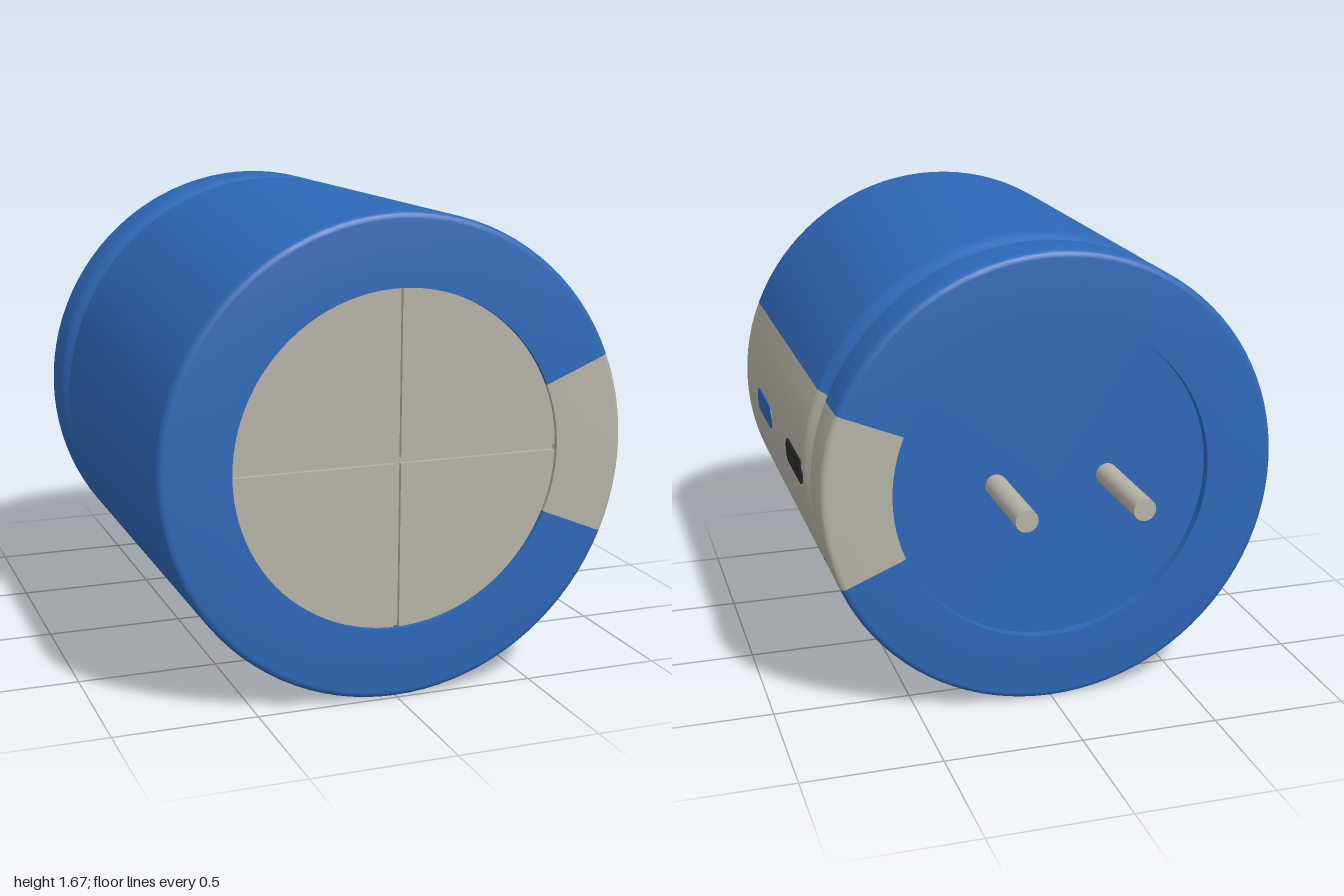
import * as THREE from 'three';
import { toCreasedNormals } from 'three/addons/utils/BufferGeometryUtils.js';

const R = 0.833;          // can radius
const RIM = 0.583;        // radius of the openings in the sleeve
const BACK = -0.66, FRONT = 1;
const FILLET = 0.025;

const material = (name, color, extra = {}) => {
  const m = new THREE.MeshStandardMaterial({ color, ...extra });
  m.name = name;
  return m;
};

// Sleeve profile as (radius, z): back lip, crimped groove, front lip
function sleeveProfile() {
  const pts = [[RIM, BACK + 0.04], [RIM, BACK]];
  for (let i = 0; i <= 5; i++) {
    const a = (i / 5) * Math.PI / 2;
    pts.push([R - FILLET + FILLET * Math.sin(a), BACK + FILLET - FILLET * Math.cos(a)]);
  }
  for (let i = 0; i <= 14; i++) {
    const t = i / 14;
    pts.push([R - 0.0175 * (1 - Math.cos(t * Math.PI * 2)), -0.487 + 0.165 * t]);
  }
  for (let i = 0; i <= 5; i++) {
    const a = (i / 5) * Math.PI / 2;
    pts.push([R - FILLET + FILLET * Math.cos(a), FRONT - FILLET + FILLET * Math.sin(a)]);
  }
  pts.push([RIM, FRONT], [RIM, FRONT - 0.03]);
  return pts.map(([r, z]) => new THREE.Vector2(r, z));
}

// Part of the sleeve between two angles, turned so its axis lies along z
function sleeveSector(segments, start, length) {
  const g = new THREE.LatheGeometry(sleeveProfile(), segments, start, length);
  g.rotateX(Math.PI / 2);
  return toCreasedNormals(g, 0.6);
}

// Rounded slot mark as a thin plate facing +x
function slotPlate(length, height) {
  const r = height / 2, h = length / 2 - r;
  const s = new THREE.Shape();
  s.absarc(h, 0, r, -Math.PI / 2, Math.PI / 2);
  s.absarc(-h, 0, r, Math.PI / 2, Math.PI * 1.5);
  const g = new THREE.ExtrudeGeometry(s, { depth: 0.008, bevelEnabled: false, curveSegments: 10 });
  return g.rotateY(Math.PI / 2);
}

// Quarter of the end cap, leaving a gap for the scored cross
function capQuarter(gap) {
  const a = Math.asin(gap / RIM);
  const s = new THREE.Shape();
  s.moveTo(gap, gap);
  s.absarc(0, 0, RIM, a, Math.PI / 2 - a);
  s.lineTo(gap, gap);
  return new THREE.ExtrudeGeometry(s, { depth: 0.015, bevelEnabled: false, curveSegments: 24 });
}

export function createModel() {
  const blue = material('blue sleeve', 0x2e68b8);
  const grey = material('warm grey', 0xb6b2a5);
  const black = material('black mark', 0x2f2d2e);

  const model = new THREE.Group();
  model.name = 'capacitor';
  const add = (name, geometry, mat, x = 0, y = 0, z = 0) => {
    const mesh = new THREE.Mesh(geometry, mat);
    mesh.name = name;
    mesh.position.set(x, y + R, z);
    model.add(mesh);
    return mesh;
  };

  // Sleeve and the pale stripe down its left side
  const stripe = Math.PI / 4;
  const stripeStart = Math.PI / 2 - stripe / 2;
  add('sleeve', sleeveSector(84, stripeStart + stripe, Math.PI * 2 - stripe), blue);
  add('polarityStripe', sleeveSector(12, stripeStart, stripe), grey);

  // Slot marks on the stripe
  add('blueMark', slotPlate(0.335, 0.09), blue, R - 0.005, 0.003, 0.5);
  add('blackMark', slotPlate(0.335, 0.09), black, R - 0.005, 0.003, -0.165);

  // Front cap: a floor with four raised quarters that leave a cross
  add('capFloor', new THREE.CircleGeometry(RIM, 96), grey, 0, 0, FRONT - 0.03);
  const quarter = capQuarter(0.01);
  for (let i = 0; i < 4; i++) {
    add('capQuarter', quarter, grey, 0, 0, FRONT - 0.03).rotation.z = i * Math.PI / 2;
  }

  // Recessed base disc at the back
  const base = new THREE.CircleGeometry(RIM, 96).rotateY(Math.PI);
  add('baseDisc', base, blue, 0, 0, BACK + 0.035);

  // Two pins, one slightly shorter
  for (const [x, end] of [[-0.208, -1], [0.203, -0.985]]) {
    const start = BACK + 0.04;
    const pin = new THREE.CylinderGeometry(0.04, 0.04, start - end, 24).rotateX(Math.PI / 2);
    add('pin', pin, grey, x, 0.003, (start + end) / 2);
  }
  return model;
}
